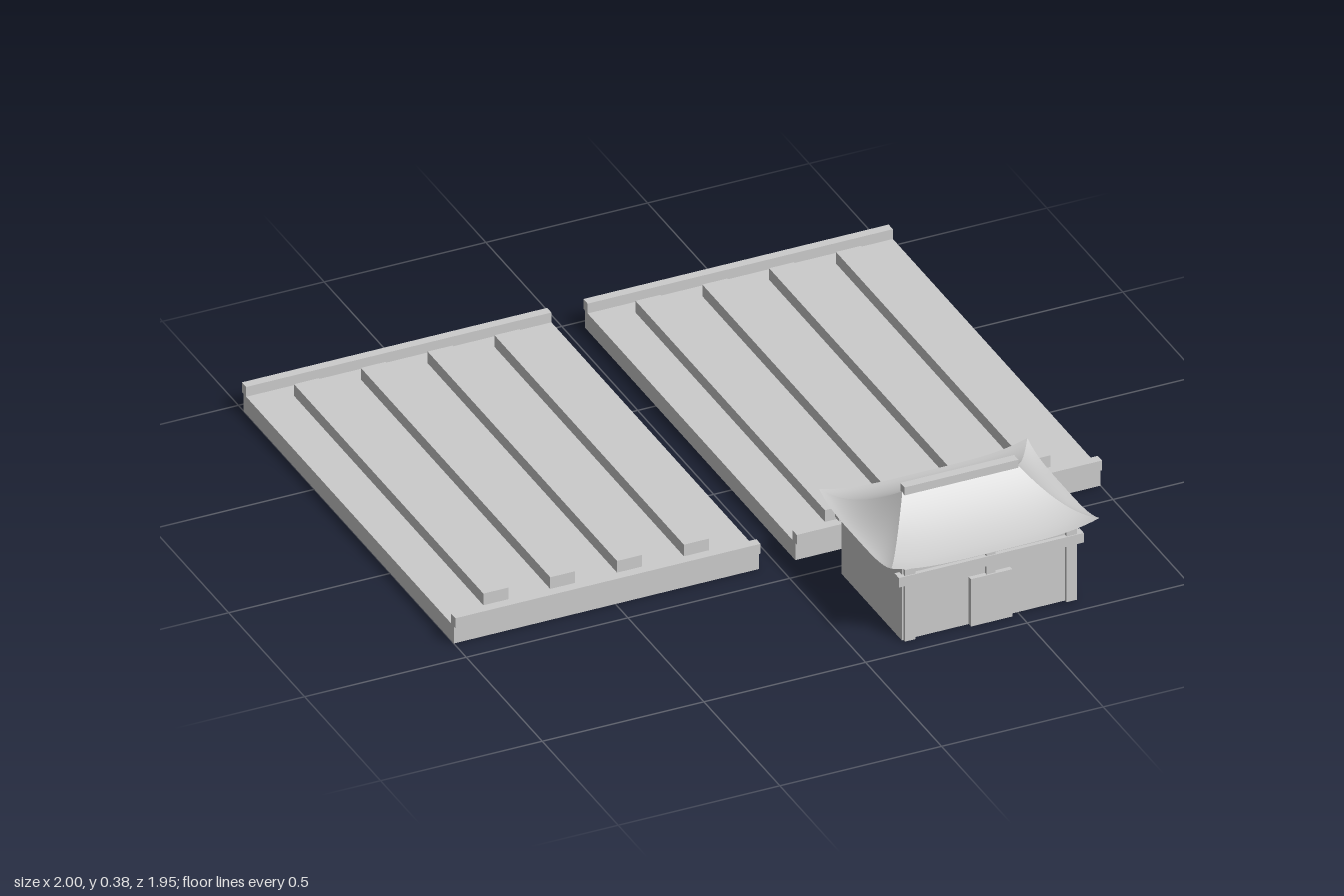
import * as THREE from 'three';

const stone = new THREE.MeshStandardMaterial({ color: 0xcccccc, side: THREE.DoubleSide });
stone.name = 'pale grey';

// box given by its min and max along each axis
function box(parent, name, [x0, x1], [y0, y1], [z0, z1]) {
  const mesh = new THREE.Mesh(new THREE.BoxGeometry(x1 - x0, y1 - y0, z1 - z0), stone);
  mesh.position.set((x0 + x1) / 2, (y0 + y1) / 2, (z0 + z1) / 2);
  mesh.name = name;
  parent.add(mesh);
}

// one concave roof slope with upturned eave corners, facing +z
function slopeGeometry(topHalf, eaveHalf, topOut, eaveOut) {
  const geo = new THREE.PlaneGeometry(2, 1, 28, 14);
  const p = geo.attributes.position;
  for (let i = 0; i < p.count; i++) {
    const u = p.getX(i);
    const s = 0.5 - p.getY(i); // 0 at the ridge, 1 at the eave
    const y = 0.243 + 0.112 * Math.pow(1 - s, 1.7) + 0.027 * Math.pow(Math.abs(u), 4) * s ** 3;
    p.setXYZ(i, u * THREE.MathUtils.lerp(topHalf, eaveHalf, s), y,
      THREE.MathUtils.lerp(topOut, eaveOut, s));
  }
  geo.computeVertexNormals();
  return geo;
}

function createTerrace(side) {
  const terrace = new THREE.Group();
  terrace.name = side > 0 ? 'leftTerrace' : 'rightTerrace';
  const span = (a, b) => (side > 0 ? [a, b] : [-b, -a]);
  box(terrace, 'slab', span(0.056, 1), [0, 0.056], [-0.965, 0.418]);
  // end kerbs, slightly overhanging the slab
  box(terrace, 'frontKerb', span(0.056, 1), [0.056, 0.088], [0.4, 0.428]);
  box(terrace, 'backKerb', span(0.056, 1), [0.056, 0.088], [-0.977, -0.949]);
  // long raised strips
  for (let i = 0; i < 4; i++) {
    const x = 0.218 + i * 0.2067;
    box(terrace, 'raisedStrip', span(x - 0.0385, x + 0.0385), [0.056, 0.094], [-0.897, 0.35]);
  }
  return terrace;
}

function createPavilion() {
  const pavilion = new THREE.Group();
  pavilion.name = 'pavilion';
  box(pavilion, 'walls', [-0.271, 0.271], [0, 0.233], [-0.198, 0.198]);

  // columns and beam on the front and the back
  for (const f of [1, -1]) {
    const depth = (a, b) => (f > 0 ? [a, b] : [-b, -a]);
    for (const x of [-0.25, 0, 0.25]) {
      const w = x === 0 ? 0.014 : 0.016;
      box(pavilion, 'column', [x - w, x + w], [0, 0.234], depth(0.185, 0.208));
    }
    box(pavilion, 'beam', [-0.286, 0.286], [0.184, 0.215], depth(0.182, 0.211));
  }
  box(pavilion, 'door', [-0.064, 0.064], [0, 0.155], [0.19, 0.213]);

  // hipped roof
  const roof = new THREE.Group();
  roof.name = 'roof';
  for (let i = 0; i < 4; i++) {
    const geo = i % 2 ? slopeGeometry(0, 0.238, 0.176, 0.322) : slopeGeometry(0.176, 0.322, 0, 0.238);
    const slope = new THREE.Mesh(geo, stone);
    slope.rotation.y = i * Math.PI / 2;
    slope.name = 'roofSlope';
    roof.add(slope);
  }
  box(roof, 'ridge', [-0.176, 0.176], [0.349, 0.375], [-0.014, 0.014]);
  pavilion.add(roof);

  pavilion.position.set(0.413, 0, 0.738);
  return pavilion;
}

export function createModel() {
  const model = new THREE.Group();
  model.name = 'courtyard';
  model.add(createTerrace(1), createTerrace(-1), createPavilion());
  return model;
}
